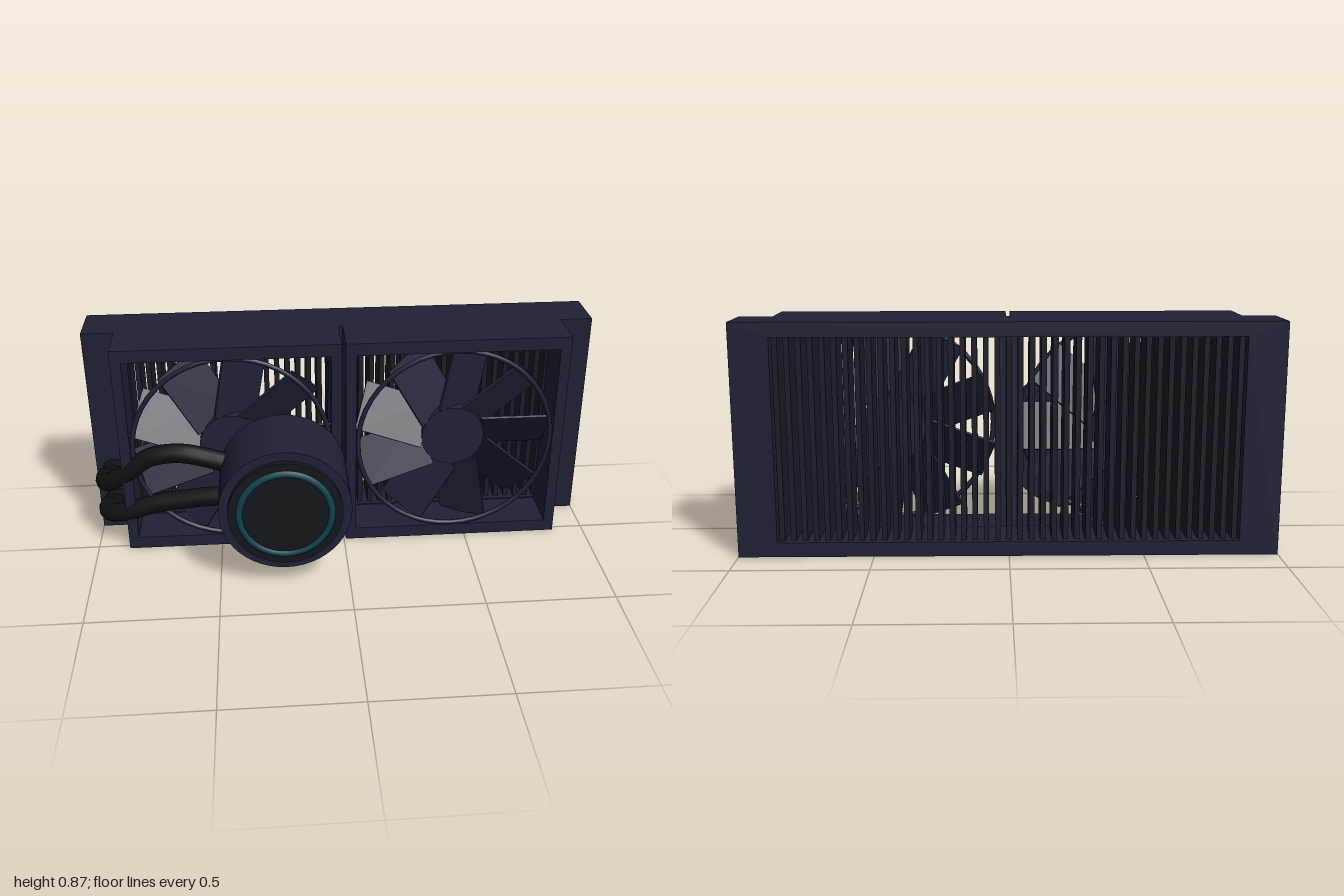
import * as THREE from 'three';

const H = 0.87, MID = H / 2;
const mat = (color, extra = {}) => {
  const m = new THREE.MeshStandardMaterial(extra);
  m.color.set(color);
  return m;
};

export function createModel() {
  const model = new THREE.Group();
  model.name = 'liquidCooler';
  const shell = mat(0x1f2136), finMat = mat(0x1c1d28), bladeMat = mat(0x202338);
  const black = mat(0x111214), face = mat(0x14171e), teal = mat(0x0d444e);

  const add = (parent, name, geometry, material, x = 0, y = 0, z = 0) => {
    const mesh = new THREE.Mesh(geometry, material);
    mesh.name = name;
    mesh.position.set(x, y, z);
    parent.add(mesh);
    return mesh;
  };

  // Rectangular frame with a rectangular opening, from z = 0 to z = depth
  const frame = (w, h, iw, ih, depth) => {
    const rect = (path, a, b) => path.moveTo(-a, -b).lineTo(a, -b).lineTo(a, b).lineTo(-a, b).closePath();
    const shape = rect(new THREE.Shape(), w / 2, h / 2);
    shape.holes.push(rect(new THREE.Path(), iw / 2, ih / 2));
    return new THREE.ExtrudeGeometry(shape, { depth, bevelEnabled: false });
  };
  // Cylinder along z, from z = 0 to z = depth
  const disc = (r, depth, sides = 48) =>
    new THREE.CylinderGeometry(r, r, depth, sides).rotateX(Math.PI / 2).translate(0, 0, depth / 2);

  // Radiator with vertical cooling fins
  const radiator = new THREE.Group();
  radiator.name = 'radiator';
  model.add(radiator);
  add(radiator, 'radiatorFrame', frame(2, H, 1.71, 0.76, 0.195), shell, 0, MID, -0.355);
  const finGeo = new THREE.BoxGeometry(0.02, 0.77, 0.15);
  const finCount = 41;
  for (let i = 0; i < finCount; i++) {
    add(radiator, 'fin', finGeo, finMat, (i - (finCount - 1) / 2) * 0.042, MID, -0.255);
  }

  // Two fans: square frame, front ring, hub and nine pitched blades
  const blades = 9;
  const bladeGeo = new THREE.BoxGeometry(0.28, 0.2, 0.01).rotateX(0.6).translate(0.25, 0, 0);
  for (const side of [-1, 1]) {
    const fan = new THREE.Group();
    fan.name = side < 0 ? 'rightFan' : 'leftFan';
    fan.position.set(side * 0.441, MID, -0.16);
    model.add(fan);
    add(fan, 'fanFrame', frame(0.866, H, 0.785, 0.77, 0.18), shell);
    add(fan, 'fanRing', new THREE.TorusGeometry(0.385, 0.01, 8, 48), shell, 0, 0, 0.165);
    add(fan, 'fanHub', disc(0.125, 0.1, 32), bladeMat, 0, 0, 0.03);
    for (let i = 0; i < blades; i++) {
      add(fan, 'fanBlade', bladeGeo, bladeMat, 0, 0, 0.085).rotation.z = (i / blades) * Math.PI * 2;
    }
  }

  // Round pump with stepped cap and glowing ring
  const pump = new THREE.Group();
  pump.name = 'pump';
  pump.position.set(-0.243, 0.335, 0.02);
  model.add(pump);
  add(pump, 'pumpBody', disc(0.25, 0.305), shell);
  add(pump, 'pumpCap', disc(0.215, 0.02), face, 0, 0, 0.305);
  add(pump, 'pumpRing', new THREE.TorusGeometry(0.172, 0.014, 10, 64), teal, 0, 0, 0.323);
  add(pump, 'pumpFace', disc(0.162, 0.01), face, 0, 0, 0.32);

  // Hoses from the pump side round to the radiator ports
  const hoses = {
    upperHose: [[-0.44, 0.41, 0.08], [-0.52, 0.425, 0.06], [-0.64, 0.44, 0.035], [-0.76, 0.415, 0.012],
      [-0.87, 0.33, -0.01], [-0.945, 0.275, -0.05], [-0.96, 0.265, -0.11], [-0.93, 0.27, -0.165]],
    lowerHose: [[-0.44, 0.262, 0.08], [-0.52, 0.255, 0.06], [-0.64, 0.232, 0.035], [-0.76, 0.203, 0.012],
      [-0.87, 0.16, -0.01], [-0.945, 0.135, -0.05], [-0.96, 0.13, -0.11], [-0.93, 0.135, -0.165]],
  };
  for (const [name, points] of Object.entries(hoses)) {
    const curve = new THREE.CatmullRomCurve3(points.map((p) => new THREE.Vector3(...p)));
    add(model, name, new THREE.TubeGeometry(curve, 48, 0.038, 12), black);
    const end = points[points.length - 1];
    add(model, 'radiatorPort', disc(0.048, 0.055, 16), black, end[0], end[1], -0.165);
  }
  return model;
}
